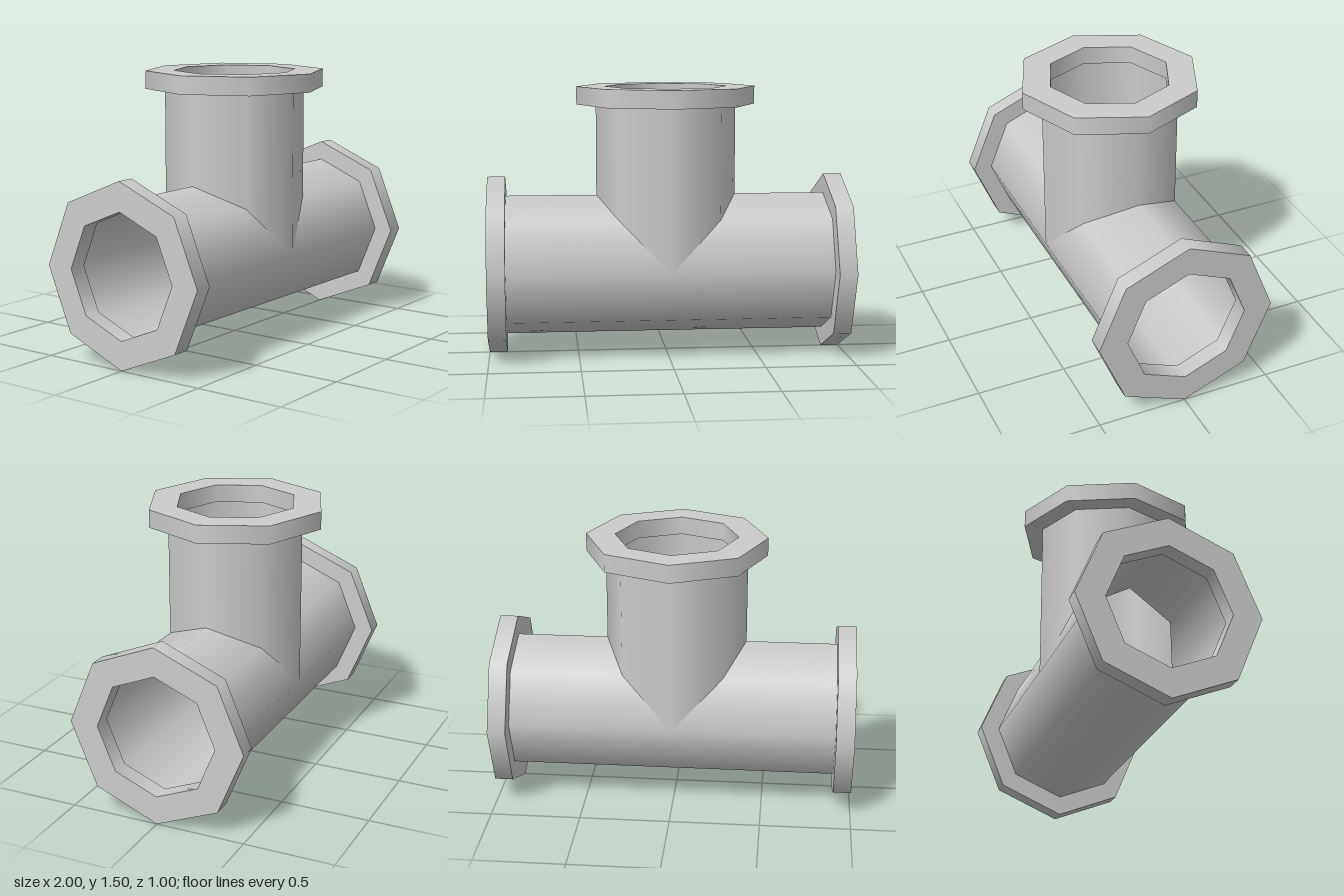
import * as THREE from 'three';
import { mergeGeometries } from 'three/addons/utils/BufferGeometryUtils.js';

const SIDES = 8, PIPE = 0.392, BORE = 0.34, RIM = 0.5, LENGTH = 1, THICK = 0.1;
const material = new THREE.MeshStandardMaterial({ color: 0xcccccc, side: THREE.DoubleSide });

// One band of an eight-sided turned shape, smooth around, sharp at its ends
function band(r0, y0, r1, y1) {
  return new THREE.LatheGeometry([new THREE.Vector2(r0, y0), new THREE.Vector2(r1, y1)], SIDES);
}

// Ring flange closing the outer end of an arm
function flangeGeometry() {
  const a = LENGTH - THICK, b = LENGTH;
  return mergeGeometries([
    band(BORE, a, RIM, a),
    band(RIM, a, RIM, b),
    band(RIM, b, BORE, b),
    band(BORE, b, BORE, a),
  ]);
}

// Open pipe along +y whose inner end is mitred by cut(x)
function pipeGeometry(cut) {
  const geometry = band(PIPE, 0, PIPE, LENGTH - THICK);
  const p = geometry.attributes.position;
  for (let i = 0; i < p.count; i++) {
    if (p.getY(i) < 0.01) p.setY(i, cut(p.getX(i)));
  }
  return geometry;
}

function arm(name, cut) {
  const group = new THREE.Group();
  group.name = name;
  const pipe = new THREE.Mesh(pipeGeometry(cut), material);
  pipe.name = name + 'Pipe';
  const flange = new THREE.Mesh(flangeGeometry(), material);
  flange.name = name + 'Flange';
  group.add(pipe, flange);
  return group;
}

export function createModel() {
  const model = new THREE.Group();
  model.name = 'pipeTee';

  // Upright branch, cut to a V where it meets the run
  const branch = arm('branch', (x) => Math.abs(x));
  branch.position.y = RIM;
  model.add(branch);

  // Two halves of the horizontal run, mitred on their upper side
  for (const [name, turn] of [['leftRun', 0], ['rightRun', Math.PI]]) {
    const run = arm(name, (x) => Math.max(0, -x));
    run.rotation.set(0, turn, -Math.PI / 2);
    run.position.y = RIM;
    model.add(run);
  }
  return model;
}
